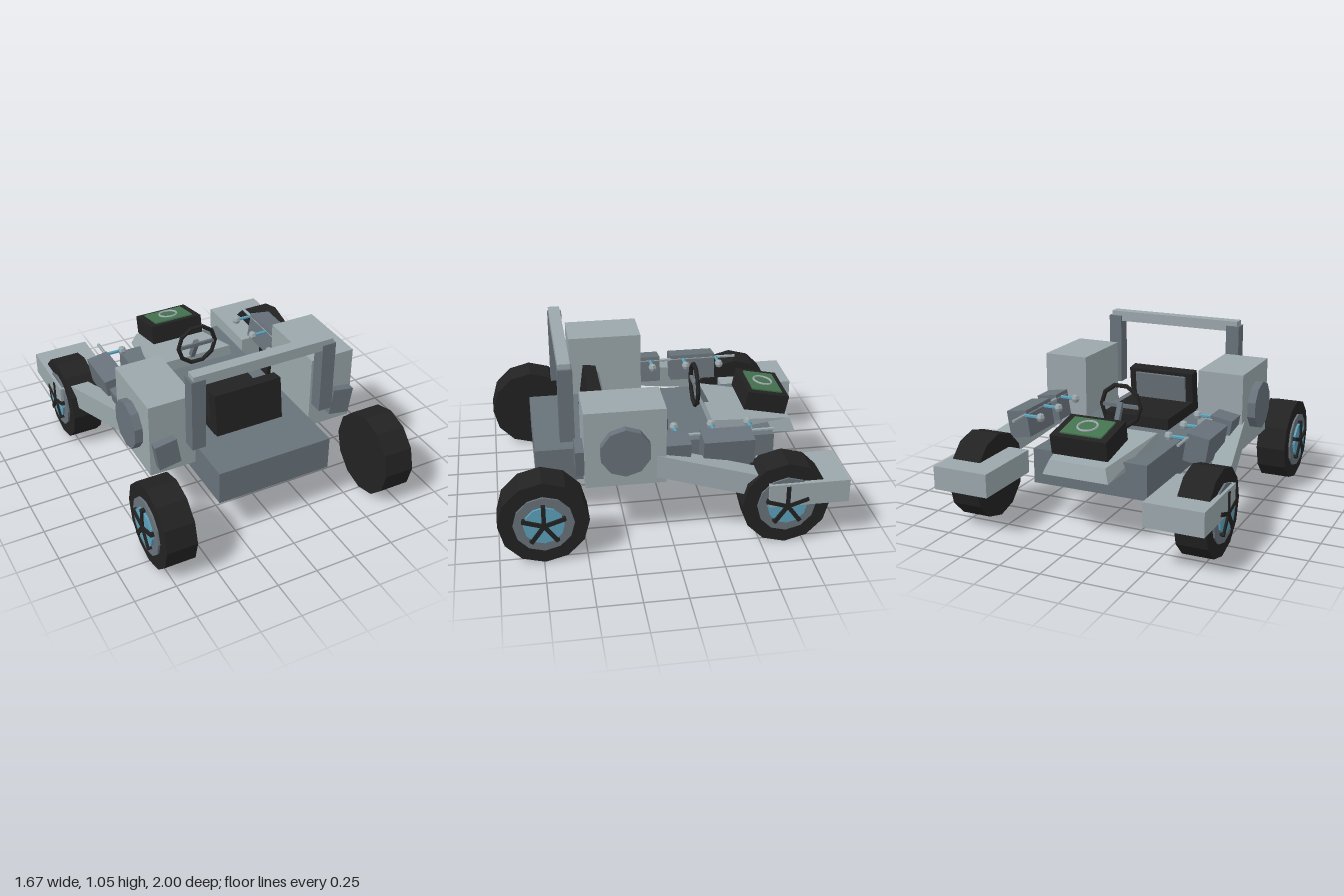
import * as THREE from 'three';

const mat = (name, color) => Object.assign(new THREE.MeshStandardMaterial({ color, flatShading: true }), { name });

export function createModel() {
  const light = mat('lightGrey', 0x9aa7ab);
  const dark = mat('darkGrey', 0x68727a);
  const black = mat('black', 0x222222);
  const blue = mat('blue', 0x5b9fba);
  const green = mat('green', 0x44724e);

  const root = new THREE.Group();
  root.name = 'buggy';

  const add = (name, geo, material, x, y, z, parent = root) => {
    const m = new THREE.Mesh(geo, material);
    m.name = name;
    m.position.set(x, y, z);
    parent.add(m);
    return m;
  };
  // Box given by its extents on each axis
  const box = (name, material, [x0, x1], [y0, y1], [z0, z1], parent) =>
    add(name, new THREE.BoxGeometry(Math.abs(x1 - x0), y1 - y0, z1 - z0), material,
      (x0 + x1) / 2, (y0 + y1) / 2, (z0 + z1) / 2, parent);
  // Cylinder lying along x, with a corner pointing straight up
  const disc = (name, material, r, sides, x0, x1, y, z, parent) => {
    const g = new THREE.CylinderGeometry(r, r, Math.abs(x1 - x0), sides, 1, false, Math.PI / 2);
    g.rotateZ(Math.PI / 2);
    return add(name, g, material, (x0 + x1) / 2, y, z, parent);
  };
  // Unit box whose corners are moved by a rule
  const bent = (name, material, rule) => {
    const g = new THREE.BoxGeometry(1, 1, 1);
    const p = g.attributes.position;
    for (let i = 0; i < p.count; i++) p.setXYZ(i, ...rule(p.getX(i), p.getY(i), p.getZ(i)));
    g.computeVertexNormals();
    return add(name, g, material, 0, 0, 0);
  };

  // Body slab and sloping tapered hood
  box('chassis', dark, [-0.36, 0.36], [0.26, 0.47], [-0.67, 0.76]);
  bent('hood', light, (x, y, z) => {
    const top = y > 0;
    if (z > 0) return [x * (top ? 0.53 : 0.56), top ? 0.54 : 0.46, -0.31];
    return [x * (top ? 0.35 : 0.41), top ? 0.475 : 0.395, top ? -0.815 : -0.845];
  });

  // Battery with a green panel and a ring
  const battery = new THREE.Group();
  battery.name = 'battery';
  battery.position.set(0, 0.585, -0.665);
  battery.rotation.x = -0.2;
  root.add(battery);
  add('batteryCase', new THREE.BoxGeometry(0.35, 0.118, 0.263), black, 0, 0, 0, battery);
  add('batteryPanel', new THREE.BoxGeometry(0.26, 0.009, 0.19), green, 0, 0.063, 0, battery);
  const ring = add('batteryRing', new THREE.TorusGeometry(0.058, 0.007, 6, 16), light, 0, 0.072, 0, battery);
  ring.rotation.x = Math.PI / 2;

  // Seat
  box('seatBase', black, [-0.217, 0.217], [0.46, 0.54], [-0.045, 0.42]);
  const back = new THREE.Group();
  back.name = 'backrest';
  back.position.set(0, 0.603, 0.398);
  back.rotation.x = -0.13;
  root.add(back);
  add('backrestPad', new THREE.BoxGeometry(0.434, 0.264, 0.08), black, 0, 0, 0, back);
  add('backrestPanel', new THREE.BoxGeometry(0.34, 0.19, 0.02), dark, 0, 0.015, -0.047, back);

  // Steering wheel, spoke bar and column
  add('steeringWheel', new THREE.TorusGeometry(0.128, 0.014, 6, 10), black, 0, 0.658, -0.248);
  box('steeringSpoke', dark, [-0.125, 0.125], [0.647, 0.669], [-0.256, -0.24]);
  const column = add('steeringColumn', new THREE.BoxGeometry(0.03, 0.22, 0.03), dark, 0, 0.58, -0.3);
  column.rotation.x = 0.47;

  // Roll bar top
  box('rollBarTop', light, [-0.44, 0.44], [0.985, 1.05], [0.54, 0.61]);

  for (const s of [1, -1]) {
    const X = (a, b) => [s * a, s * b];

    box('rollBarPost', dark, X(0.37, 0.455), [0.57, 1.02], [0.53, 0.615]);

    // Side housing with round cap
    box('sideHousing', light, X(0.38, 0.663), [0.38, 0.847], [0.033, 0.495]);
    disc('housingCap', dark, 0.146, 10, s * 0.66, s * 0.712, 0.61, 0.268);

    // Sloping arm from the housing to the rear wheel
    bent('rearArm', light, (x, y, z) => {
      const zz = z > 0 ? 0.2 : -0.62, d = zz - 0.1;
      return [s * (0.603 - 0.2 * d) + x * 0.115, 0.487 + 0.2 * d + y * 0.14, zz];
    });

    // Leaning side boxes
    for (const [z0, z1] of [[-0.48, -0.185], [-0.112, 0.545]]) {
      const b = box('sideBox', dark, X(0.504, 0.64), [0.45, 0.615], [z0, z1]);
      b.rotation.z = -s * 0.16;
    }

    // Long rod with three knobbed levers
    const rod = add('rod', new THREE.CylinderGeometry(0.01, 0.01, 1.1, 6), light, s * 0.522, 0.597, -0.07);
    rod.rotation.x = Math.PI / 2;
    for (const z of [-0.49, -0.27, -0.05]) {
      disc('lever', blue, 0.011, 6, s * 0.42, s * 0.525, 0.597, z);
      add('leverKnob', new THREE.SphereGeometry(0.028, 6, 4), light, s * 0.413, 0.597, z);
    }

    // Rear fender
    box('rearFender', light, X(0.48, 0.83), [0.257, 0.398], [-1, -0.53]);

    // Wheels
    for (const z of [0.743, -0.64]) {
      const wheel = new THREE.Group();
      wheel.name = z > 0 ? 'frontWheel' : 'rearWheel';
      wheel.position.set(0, 0.257, z);
      root.add(wheel);
      disc('tyre', black, 0.257, 12, s * 0.615, s * 0.8, 0, 0, wheel);
      disc('rim', dark, 0.172, 12, s * 0.78, s * 0.812, 0, 0, wheel);
      disc('hubDisc', blue, 0.115, 12, s * 0.79, s * 0.825, 0, 0, wheel);
      for (let i = 0; i < 5; i++) {
        const g = new THREE.BoxGeometry(0.03, 0.13, 0.024);
        g.translate(0, 0.063, 0);
        const spoke = add('spoke', g, black, s * 0.821, 0, 0, wheel);
        spoke.rotation.x = (i * Math.PI * 2) / 5;
      }
    }
  }
  return root;
}
